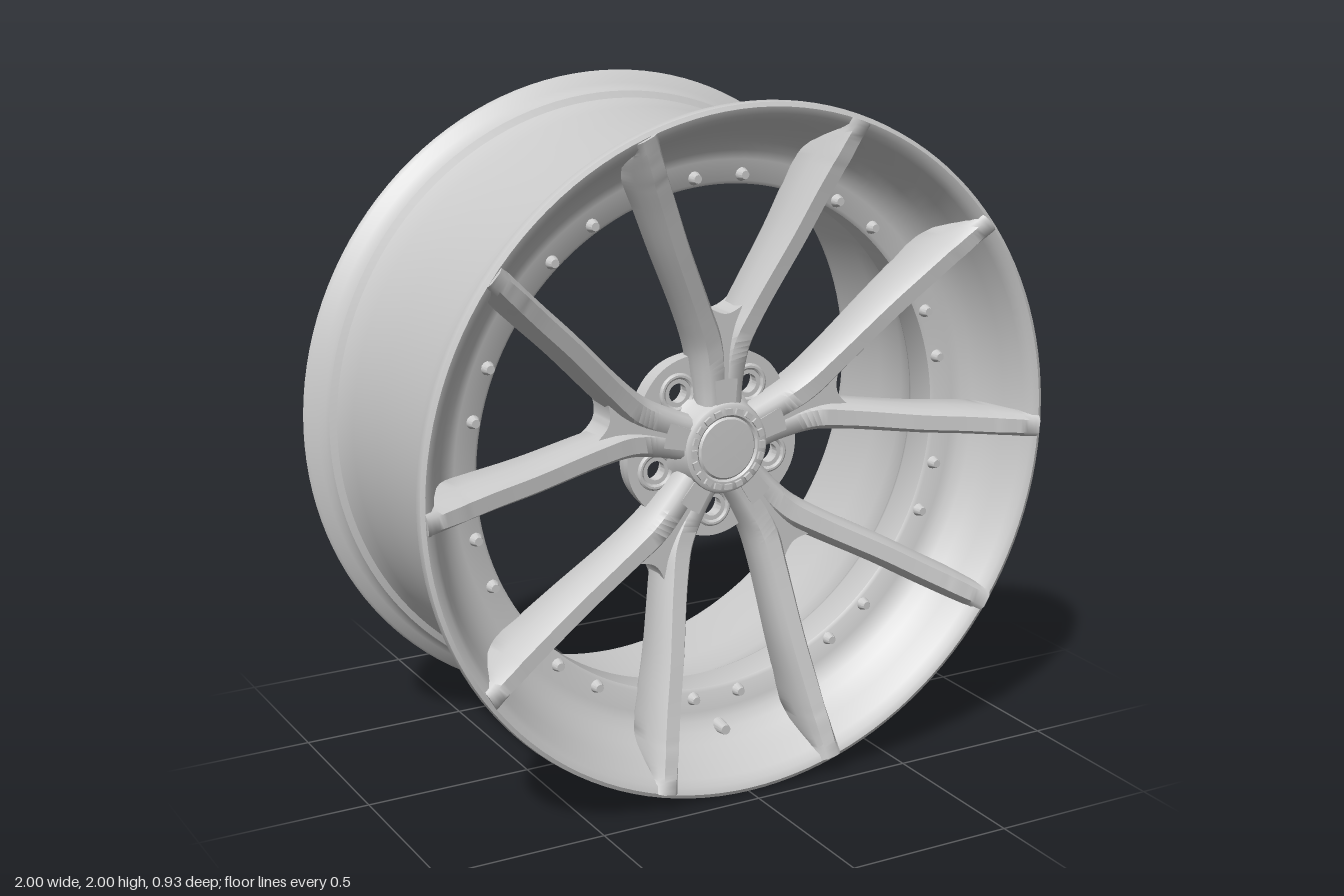
import * as THREE from 'three';
import { toCreasedNormals } from 'three/addons/utils/BufferGeometryUtils.js';

const metal = new THREE.MeshStandardMaterial({ color: 0xcccccc, side: THREE.DoubleSide });
metal.name = 'satin grey metal';

function part(name, geometry, parent, crease = 0.6) {
  const mesh = new THREE.Mesh(toCreasedNormals(geometry, crease), metal);
  mesh.name = name;
  parent.add(mesh);
  return mesh;
}

// Revolve a [radius, z] profile about the wheel axis (outside runs towards +z)
function revolve(profile, segments = 128) {
  const pts = profile.map(([r, z]) => new THREE.Vector2(r, z));
  return new THREE.LatheGeometry(pts, segments).rotateX(Math.PI / 2);
}

// Front dish as [radius, z], from the lip down to the bolted flange
const DISH = [
  [0.985, 0.455], [0.965, 0.448], [0.948, 0.425], [0.922, 0.365], [0.893, 0.31],
  [0.868, 0.28], [0.842, 0.26], [0.815, 0.249], [0.755, 0.246],
];

// Height of the dish at a radius; nothing to rest on inside the flange
function dishZ(r) {
  if (r >= DISH[0][0]) return DISH[0][1];
  for (let i = 1; i < DISH.length; i++) {
    const [r0, z0] = DISH[i - 1], [r1, z1] = DISH[i];
    if (r >= r1) return z1 + (z0 - z1) * (r - r1) / (r0 - r1);
  }
  return 0;
}

// One branch of a forked spoke
// Stations: lateral offset, radial distance, half width, back z, front z
const STATIONS = [
  [0.024, 0.08, 0.040, 0.205, 0.295],
  [0.029, 0.20, 0.045, 0.180, 0.300],
  [0.045, 0.30, 0.047, 0.180, 0.310],
  [0.088, 0.40, 0.044, 0.195, 0.330],
  [0.186, 0.60, 0.043, 0.225, 0.380],
  [0.240, 0.72, 0.043, 0.238, 0.410],
  [0.277, 0.80, 0.043, 0.245, 0.432],
  [0.304, 0.86, 0.041, 0.305, 0.450],
  [0.333, 0.925, 0.036, 0.415, 0.466],
];

function spokeGeometry(side) {
  const path = new THREE.CatmullRomCurve3(STATIONS.map(s => new THREE.Vector3(side * s[0], s[1], 0)));
  const size = new THREE.CatmullRomCurve3(STATIONS.map(s => new THREE.Vector3(s[2], s[3], s[4])));
  const steps = 48, pos = [], index = [];
  let n = 0;
  for (let i = 0; i <= steps; i++) {
    const p = path.getPoint(i / steps), t = path.getTangent(i / steps);
    const { x: hw, y: back, z: front } = size.getPoint(i / steps);
    const d = front - back;
    const section = [
      [-0.7, back], [-0.95, back + 0.15 * d], [-1, front - 0.4 * d], [-0.8, front - 0.14 * d], [-0.5, front],
      [0.5, front], [0.8, front - 0.14 * d], [1, front - 0.4 * d], [0.95, back + 0.15 * d], [0.7, back],
    ];
    n = section.length;
    for (const [u, z] of section) {
      const x = p.x + t.y * u * hw, y = p.y - t.x * u * hw;
      pos.push(x, y, Math.max(z, dishZ(Math.hypot(x, y)) - 0.005));
    }
  }
  for (let i = 0; i < steps; i++) {
    for (let j = 0; j < n; j++) {
      const a = i * n + j, b = i * n + (j + 1) % n;
      index.push(a, b, b + n, a, b + n, a + n);
    }
  }
  // End caps
  const e = steps * n;
  for (let j = 1; j < n - 1; j++) index.push(0, j + 1, j, e, e + j, e + j + 1);
  const g = new THREE.BufferGeometry();
  g.setAttribute('position', new THREE.Float32BufferAttribute(pos, 3));
  g.setIndex(index);
  return g;
}

// Web filling the crotch of the fork
function webGeometry() {
  const s = new THREE.Shape();
  s.moveTo(-0.03, 0.12);
  s.lineTo(0.03, 0.12);
  s.lineTo(0.045, 0.3);
  s.lineTo(0.088, 0.44);
  s.quadraticCurveTo(0.035, 0.39, 0, 0.39);
  s.quadraticCurveTo(-0.035, 0.39, -0.088, 0.44);
  s.lineTo(-0.045, 0.3);
  return new THREE.ExtrudeGeometry(s, { depth: 0.1, bevelEnabled: false, curveSegments: 10 }).translate(0, 0, 0.2);
}

// Lobed plate with five lug holes and an optional centre bore
function hubPlate(radius, holeRadius, bore, z, depth) {
  const outline = [];
  for (let i = 0; i < 100; i++) {
    const a = i * Math.PI / 50, r = radius + 0.008 * Math.cos(5 * (a + Math.PI / 2));
    outline.push(new THREE.Vector2(r * Math.cos(a), r * Math.sin(a)));
  }
  const s = new THREE.Shape(outline);
  for (let k = 0; k < 5; k++) {
    const a = -Math.PI / 2 + k * Math.PI * 0.4;
    s.holes.push(new THREE.Path().absarc(0.195 * Math.cos(a), 0.195 * Math.sin(a), holeRadius, 0, Math.PI * 2, true));
  }
  if (bore) s.holes.push(new THREE.Path().absarc(0, 0, bore, 0, Math.PI * 2, true));
  return new THREE.ExtrudeGeometry(s, { depth, bevelEnabled: false, curveSegments: 32 }).translate(0, 0, z);
}

export function createModel() {
  const wheel = new THREE.Group();
  wheel.name = 'wheel';
  const body = new THREE.Group();
  body.name = 'wheelBody';
  body.position.y = 1;
  wheel.add(body);

  // Rim: barrel, both lips, front dish and thick bolted flange in one closed profile
  part('rim', revolve([
    [0.865, -0.435], [0.95, -0.45], [0.975, -0.462], [0.985, -0.455], [0.978, -0.44], [0.95, -0.425],
    [0.935, -0.405], [0.93, -0.388], [0.91, -0.378], [0.902, -0.35], [0.894, -0.29], [0.892, -0.1],
    [0.892, 0.18], [0.897, 0.25], [0.912, 0.31], [0.926, 0.34], [0.928, 0.362], [0.945, 0.385],
    [0.968, 0.4], [0.99, 0.41], [1.0, 0.43], [0.997, 0.449], ...DISH,
    [0.745, 0.238], [0.745, 0.135], [0.755, 0.115], [0.785, 0.085], [0.82, 0.03],
    [0.843, -0.06], [0.855, -0.2], [0.86, -0.41], [0.865, -0.435],
  ]), body, 0.7);

  // Flange bolts in pairs
  const bolts = new THREE.Group();
  bolts.name = 'flangeBolts';
  body.add(bolts);
  for (let k = 0; k < 10; k++) {
    for (const d of [-5.6, 5.6]) {
      const a = THREE.MathUtils.degToRad(18 + 36 * k + d);
      const g = new THREE.CylinderGeometry(0.012, 0.021, 0.026, 12).rotateX(Math.PI / 2);
      part('flangeBolt', g, bolts).position.set(0.773 * Math.cos(a), 0.773 * Math.sin(a), 0.256);
    }
  }
  part('valve', new THREE.CylinderGeometry(0.015, 0.022, 0.05, 16).rotateX(Math.PI / 2), body)
    .position.set(0, -0.86, 0.285);

  // Five forked spokes
  for (let k = 0; k < 5; k++) {
    const fork = new THREE.Group();
    fork.name = 'forkedSpoke';
    fork.rotation.z = k * Math.PI * 0.4;
    part('leftBranch', spokeGeometry(1), fork, 0.9);
    part('rightBranch', spokeGeometry(-1), fork, 0.9);
    part('forkWeb', webGeometry(), fork);
    body.add(fork);
  }

  // Hub with lug holes, wider at the back
  part('hubBack', hubPlate(0.268, 0.042, 0.1, 0.165, 0.035), body);
  part('hubFront', hubPlate(0.274, 0.028, 0, 0.2, 0.025), body);
  for (let k = 0; k < 5; k++) {
    const a = -Math.PI / 2 + k * Math.PI * 0.4;
    part('lugSeat', new THREE.TorusGeometry(0.05, 0.01, 10, 32), body)
      .position.set(0.195 * Math.cos(a), 0.195 * Math.sin(a), 0.222);
  }

  // Centre cap with a knurled ring
  part('centreCap', revolve([
    [0.165, 0.215], [0.145, 0.245], [0.136, 0.29], [0.13, 0.305], [0.122, 0.31],
    [0.098, 0.31], [0.092, 0.304], [0.086, 0.31], [0, 0.312],
  ], 64), body);
  for (let k = 0; k < 20; k++) {
    const a = k * Math.PI / 10;
    const knurl = part('capKnurl', new THREE.BoxGeometry(0.016, 0.022, 0.012), body);
    knurl.position.set(0.111 * Math.cos(a), 0.111 * Math.sin(a), 0.312);
    knurl.rotation.z = a;
  }
  return wheel;
}
